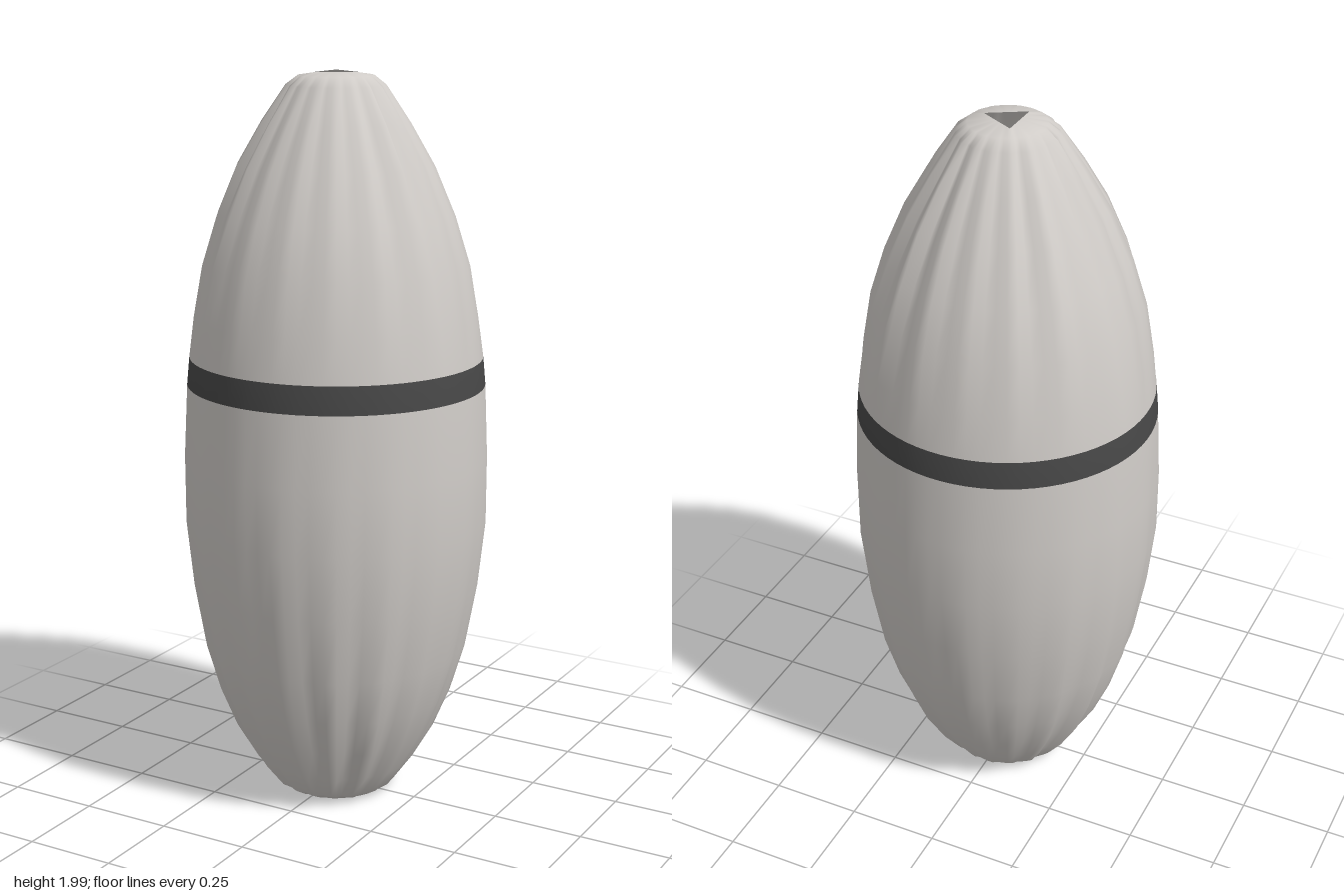
import * as THREE from 'three';

const SIDES = 72;   // points per ring, four to each pleat
const PLEATS = 18;

// rings from bottom to top: radius, height, pleat depth
const RINGS = [
  [0.11, 0.015, 0], [0.135, 0.015, 0.003], [0.165, 0.035, 0.008], [0.21, 0.1, 0.016],
  [0.268, 0.2, 0.018], [0.315, 0.31, 0.015], [0.356, 0.44, 0.01], [0.39, 0.62, 0.006],
  [0.41, 0.8, 0.004], [0.411, 0.98, 0.002], [0.402, 1.175, 0], [0.395, 1.25, 0],
  [0.38, 1.36, 0.004], [0.353, 1.5, 0.01], [0.31, 1.63, 0.015], [0.253, 1.76, 0.018],
  [0.19, 1.87, 0.016], [0.13, 1.965, 0.008], [0.1, 1.99, 0.002], [0.065, 2, 0],
];

// small seeded generator for uneven pleats
function seeded(seed) {
  return () => (seed = (seed * 16807) % 2147483647) / 2147483647;
}

// radius of a regular polygon at a given angle
function polygonRadius(angle, sides, radius, turn) {
  const step = (Math.PI * 2) / sides;
  const a = (((angle - turn) % step) + step) % step;
  return (radius * Math.cos(step / 2)) / Math.cos(a - step / 2);
}

export function createModel() {
  const group = new THREE.Group();
  group.name = 'pleatedLantern';

  const paper = new THREE.MeshStandardMaterial({ color: 0xd0ccc8, side: THREE.DoubleSide });
  paper.name = 'pale grey';
  const ink = new THREE.MeshStandardMaterial({ color: 0x484848, side: THREE.DoubleSide });
  ink.name = 'dark grey';

  // separate pleat strengths for the lower and upper halves
  const random = seeded(41);
  const strength = Array.from({ length: PLEATS * 2 }, () => 0.4 + random() * 1.2);
  const saw = [0.5, 0.2, -0.2, -0.5];

  const positions = [];
  RINGS.forEach(([radius, y, depth], j) => {
    for (let i = 0; i < SIDES; i++) {
      const t = (i / SIDES) * Math.PI * 2;
      const pleat = Math.floor(i / 4) + (y > 1.2 ? PLEATS : 0);
      let r = radius + depth * strength[pleat] * saw[i % 4];
      // square opening below, triangular opening above
      if (j === 0) r = polygonRadius(t, 4, 0.12, 0.3);
      if (j === RINGS.length - 1) r = polygonRadius(t, 3, 0.065, 0);
      positions.push(r * Math.cos(t), y, r * Math.sin(t));
    }
  });

  const indexRows = (from, to) => {
    const index = [];
    for (let j = from; j < to; j++) {
      for (let i = 0; i < SIDES; i++) {
        const a = j * SIDES + i, b = j * SIDES + ((i + 1) % SIDES);
        index.push(a, a + SIDES, b, b, a + SIDES, b + SIDES);
      }
    }
    return index;
  };

  // whole shell, so the three parts share smooth normals
  const shell = new THREE.BufferGeometry();
  shell.setAttribute('position', new THREE.Float32BufferAttribute(positions, 3));
  shell.setIndex(indexRows(0, RINGS.length - 1));
  shell.computeVertexNormals();

  const addPart = (name, from, to, material) => {
    const geometry = shell.clone();
    geometry.setIndex(indexRows(from, to));
    const mesh = new THREE.Mesh(geometry, material);
    mesh.name = name;
    group.add(mesh);
  };
  addPart('lowerShell', 0, 10, paper);
  addPart('band', 10, 11, ink);
  addPart('upperShell', 11, RINGS.length - 1, paper);

  return group;
}
